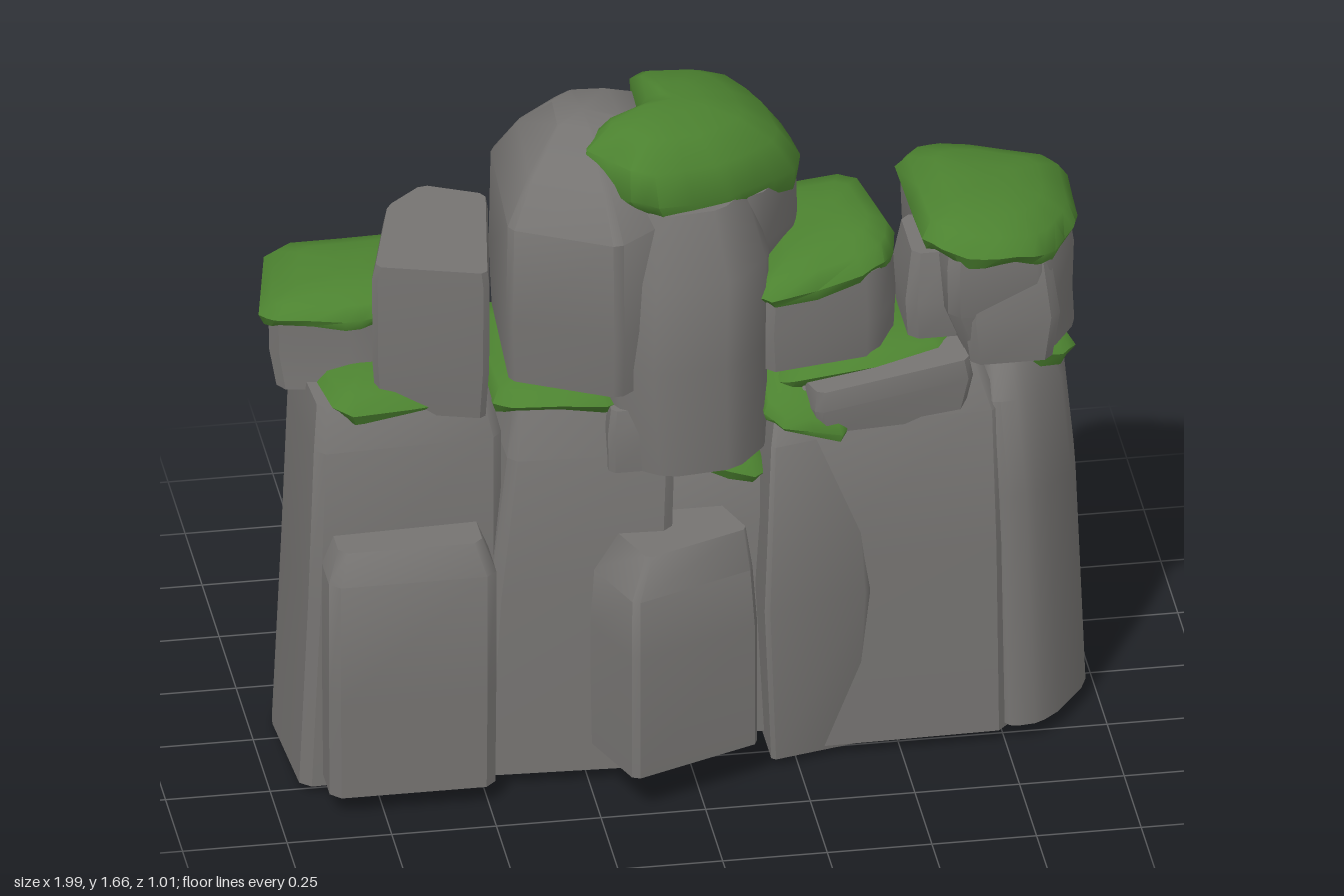
import * as THREE from 'three';
import { toCreasedNormals } from 'three/addons/utils/BufferGeometryUtils.js';

const stone = new THREE.MeshStandardMaterial({ color: 0x757371 });
stone.name = 'grey stone';
const moss = new THREE.MeshStandardMaterial({ color: 0x4c8230 });
moss.name = 'green moss';

const centre = (pts) => pts.reduce((c, p) => [c[0] + p[0] / pts.length, c[1] + p[1] / pts.length], [0, 0]);

// Orders a footprint consistently and cuts its corners
function bevelled(pts, b) {
  const area = pts.reduce((s, p, i) => {
    const q = pts[(i + 1) % pts.length];
    return s + p[0] * q[1] - q[0] * p[1];
  }, 0);
  const src = area < 0 ? [...pts].reverse() : pts;
  const out = [];
  src.forEach((p, i) => {
    for (const q of [src[(i + src.length - 1) % src.length], src[(i + 1) % src.length]]) {
      const k = Math.min(0.35, b / Math.hypot(q[0] - p[0], q[1] - p[1]));
      out.push([p[0] + (q[0] - p[0]) * k, p[1] + (q[1] - p[1]) * k]);
    }
  });
  return out;
}

// Closed solid through rings of 3D points, from bottom to top
function loft(rings, crease) {
  const n = rings[0].length, pos = [];
  const tri = (...p) => p.forEach((v) => pos.push(...v));
  const mid = (r) => [0, 1, 2].map((k) => r.reduce((s, p) => s + p[k], 0) / n);
  const low = rings[0], top = rings[rings.length - 1];
  for (let i = 0; i < n; i++) {
    const j = (i + 1) % n;
    for (let r = 0; r + 1 < rings.length; r++) {
      const a = rings[r], b = rings[r + 1];
      tri(a[i], b[i], a[j]);
      tri(a[j], b[i], b[j]);
    }
    tri(mid(low), low[i], low[j]);
    tri(mid(top), top[j], top[i]);
  }
  const g = new THREE.BufferGeometry();
  g.setAttribute('position', new THREE.Float32BufferAttribute(pos, 3));
  return toCreasedNormals(g, crease);
}

// Boulder: footprint [x, z], rings [y, scale, shiftX, shiftZ], slope of the upper rings
function rock(name, foot, rings, slope = [0, 0], bevel = 0.025) {
  const pts = bevelled(foot, bevel), [cx, cz] = centre(foot);
  const levels = rings.map(([y, s, dx = 0, dz = 0], r) => pts.map(([x, z]) => {
    const u = (x - cx) * s, v = (z - cz) * s;
    return [cx + u + dx, y + (r ? slope[0] * u + slope[1] * v : 0), cz + v + dz];
  }));
  const mesh = new THREE.Mesh(loft(levels, 0.75), stone);
  mesh.name = name;
  return mesh;
}

// Moss pad: low cap with an uneven rim; lean moves its summit
function pad(name, foot, y, h, slope = [0, 0], droop = 0.02, lean = [0, 0]) {
  const [cx, cz] = centre(foot), pts = [];
  const cut = bevelled(foot, 0.04);
  cut.forEach((p, i) => {
    const q = cut[(i + 1) % cut.length];
    pts.push(p, [(p[0] + q[0]) / 2, (p[1] + q[1]) / 2]);
  });
  const shape = [[0, 0.95, 1], [0.2, 1.01, 0.4], [0.6, 0.88, 0.1], [0.88, 0.6, 0], [1, 0.28, 0]];
  const levels = shape.map(([t, s, rag]) => pts.map(([x, z], i) => {
    const u = (x - cx) * s, v = (z - cz) * s;
    const sag = droop * rag * (0.8 + 0.6 * Math.sin(i * 1.2 + cx * 9));
    return [cx + u + lean[0] * t, y + h * t - sag + slope[0] * u + slope[1] * v, cz + v + lean[1] * t];
  }));
  const mesh = new THREE.Mesh(loft(levels, 1.0), moss);
  mesh.name = name;
  return mesh;
}

const box = (x0, x1, z0, z1) => [[x0, z0], [x1, z0], [x1, z1], [x0, z1]];

export function createModel() {
  const g = new THREE.Group();
  g.name = 'mossyRockFormation';
  g.add(
    // Tall lower pillars
    rock('rightPillar', [[-0.95, -0.06], [-0.91, -0.17], [-0.8, -0.25], [-0.5, -0.26], [-0.46, 0.26], [-0.93, 0.28]],
      [[0.02, 1], [0.5, 0.99, 0.02], [0.91, 0.96, 0.03], [1.01, 0.88, 0.03, -0.02]]),
    rock('rightInnerPillar', [[-0.52, -0.24], [-0.04, -0.24], [-0.06, 0.33], [-0.51, 0.31]],
      [[0.03, 1], [0.5, 0.95, 0.02], [0.85, 0.88, 0.05, -0.01], [1.0, 0.77, 0.05, -0.03]]),
    rock('rightBackPillar', [[-0.65, -0.28], [-0.4, -0.31], [-0.36, -0.1], [-0.62, -0.1]],
      [[0.03, 1], [0.82, 0.95], [0.9, 0.85]]),
    rock('centreCore', box(-0.25, 0.3, -0.26, 0.22),
      [[0.04, 1], [0.62, 0.98], [0.73, 0.9, 0, -0.02]]),
    rock('leftInnerPillar', [[0.18, -0.25], [0.74, -0.25], [0.76, 0.29], [0.22, 0.3]],
      [[0.03, 1], [0.5, 0.98], [0.86, 0.95, 0, -0.01], [0.97, 0.82, 0, -0.04]], [0, 0.1]),
    rock('leftInnerWedge', [[0.17, 0], [0.46, 0.05], [0.42, 0.29], [0.17, 0.35]],
      [[0.02, 0.88], [0.44, 1.04, 0, 0.01], [0.85, 0.85, 0, -0.02], [0.93, 0.7, 0, -0.05]], [0, 0], 0.012),
    rock('leftPillar', [[0.72, -0.26], [0.9, -0.24], [0.98, -0.19], [1, -0.1], [0.97, 0.12], [0.87, 0.26], [0.8, 0.3], [0.74, 0.28]],
      [[0.04, 1], [0.6, 0.98, -0.02, -0.01], [0.85, 0.95, -0.04, -0.02], [0.93, 0.8, -0.05, -0.05]], [0, 0.2]),

    // Slabs leaning on the front and back
    rock('frontRightSlab', box(-0.88, -0.48, 0.1, 0.4),
      [[0.05, 0.99], [0.3, 1], [0.62, 1], [0.69, 0.86, 0, -0.02]]),
    rock('frontCentreSlab', [[-0.25, 0.3], [-0.17, 0.51], [0.15, 0.38], [0.07, 0.16]],
      [[0.1, 1], [0.42, 1], [0.56, 0.96, 0, -0.02], [0.65, 0.8, 0.02, -0.05]], [0, 0], 0.015),
    rock('backRightSlab', [[-0.39, -0.41], [-0.07, -0.51], [0, -0.25], [-0.3, -0.16]],
      [[0.06, 1], [0.25, 1], [0.62, 0.94, 0, 0.02], [0.69, 0.8, 0, 0.05]]),
    rock('backLeftSlab', [[0.17, -0.39], [0.46, -0.47], [0.52, -0.24], [0.24, -0.16]],
      [[0.0, 1], [0.4, 1], [0.68, 0.97, 0, 0.01], [0.73, 0.8, 0, 0.02]]),
    rock('backLeftSmallSlab', [[0.43, -0.41], [0.63, -0.38], [0.6, -0.2], [0.42, -0.2]],
      [[0.08, 1], [0.54, 1], [0.6, 0.8]]),

    // Boulders stacked on top
    rock('farRightBoulder', [[-0.98, 0.07], [-0.92, -0.23], [-0.56, -0.22], [-0.58, 0.08], [-0.76, 0.11]],
      [[0.99, 0.9, 0, 0.02], [1.08, 0.97], [1.19, 0.98]]),
    rock('uprightBlock', [[-0.75, 0.2], [-0.67, -0.1], [-0.57, -0.19], [-0.42, -0.12], [-0.48, 0.28]],
      [[0.97, 0.93], [1.1, 0.99], [1.33, 1], [1.37, 0.95, 0, 0.01]], [0, 0], 0.015),
    rock('peakBoulder', [[-0.43, 0.22], [-0.41, -0.18], [-0.24, -0.33], [0.04, -0.31], [0.08, 0.15], [-0.18, 0.35]],
      [[1.04, 0.97], [1.2, 1], [1.45, 0.98], [1.55, 0.68, -0.01], [1.63, 0.3, -0.02]], [0, 0], 0.015),
    rock('frontColumn', [[-0.2, 0.05], [-0.2, 0.27], [-0.08, 0.36], [0.1, 0.34], [0.2, 0.22], [0.18, 0]],
      [[0.82, 0.93, 0.01], [1.1, 1], [1.32, 0.98, 0.01, -0.02], [1.48, 0.8, 0, -0.06]]),
    rock('smallFrontWedge', box(-0.2, -0.08, 0.12, 0.31), [[0.82, 0.97], [0.92, 1], [0.98, 0.85]], [0, 0], 0.015),
    rock('backColumn', [[-0.29, -0.29], [0.18, -0.34], [0.22, 0.05], [-0.2, 0.05]],
      [[0.79, 0.99], [1.3, 0.97], [1.45, 0.85]]),
    rock('backBlock', [[-0.35, -0.34], [-0.06, -0.39], [0, -0.16], [-0.28, -0.12]],
      [[1.06, 0.98], [1.24, 1], [1.38, 0.75, 0, 0.03]], [0, 0], 0.015),
    rock('crownBoulder', [[0, -0.31], [0.25, -0.31], [0.31, 0.02], [0.18, 0.19], [-0.02, 0.2]],
      [[1.22, 0.8], [1.33, 0.97], [1.47, 0.95]], [-0.1, 0]),
    rock('leftMiddleBoulder', [[0.18, 0.25], [0.22, -0.22], [0.48, -0.24], [0.53, 0.08], [0.46, 0.2]],
      [[1.02, 0.97], [1.12, 1], [1.24, 0.95]]),
    rock('ledgeStone', [[0.27, 0.2], [0.3, 0.3], [0.68, 0.27], [0.66, 0.05], [0.3, 0.05]],
      [[0.87, 0.9], [0.95, 1], [1.0, 0.96]], [0.13, 0], 0.015),
    rock('farLeftBoulder', [[0.57, -0.2], [0.72, -0.24], [0.96, -0.19], [0.95, 0.1], [0.86, 0.24], [0.62, 0.27]],
      [[1.0, 0.83, 0.03], [1.12, 0.97], [1.24, 0.99], [1.31, 0.93]], [-0.13, 0]),
    rock('smallLeftStone', box(0.53, 0.68, -0.05, 0.2), [[1.05, 0.9], [1.15, 1], [1.27, 0.75]]),
    rock('leftBoulderKnob', box(0.66, 0.89, 0.1, 0.26), [[1.0, 0.85], [1.12, 1], [1.25, 0.85, 0, -0.02]]),

    // Moss caps on the upper boulders
    pad('crownMoss', [[-0.25, 0.1], [-0.05, -0.06], [-0.04, -0.32], [0.2, -0.34], [0.29, -0.2], [0.32, 0.04], [0.15, 0.2], [-0.1, 0.28]],
      1.465, 0.19, [-0.1, 0.02], 0.025, [-0.06, 0.05]),
    pad('crownBackMoss', [[-0.26, -0.22], [-0.2, -0.3], [0.06, -0.31], [0.06, -0.15]], 1.42, 0.06),
    pad('farRightMoss', [[-1, 0.08], [-0.93, -0.25], [-0.58, -0.24], [-0.55, 0.08], [-0.76, 0.13]], 1.18, 0.06, [0.03, 0]),
    pad('leftMiddleMoss', [[0.16, 0.27], [0.22, -0.24], [0.48, -0.25], [0.53, 0.08], [0.46, 0.2]], 1.23, 0.08, [0.1, 0]),
    pad('farLeftMoss', [[0.56, -0.2], [0.7, -0.25], [0.97, -0.19], [0.96, 0.08], [0.86, 0.25], [0.7, 0.29], [0.57, 0.23]],
      1.285, 0.09, [-0.14, 0], 0.02),

    // Moss ledges on the pillar tops
    pad('rightPillarMoss', [[-0.9, -0.2], [-0.52, -0.3], [-0.48, 0.2], [-0.84, 0.26]], 0.99, 0.07, [-0.05, 0]),
    pad('rightInnerMoss', [[-0.47, -0.24], [-0.14, -0.24], [-0.16, 0.28], [-0.46, 0.25]], 0.98, 0.06),
    pad('rightBackMoss', [[-0.65, -0.3], [-0.4, -0.33], [-0.37, -0.12], [-0.6, -0.12]], 0.88, 0.05, [0, 0], 0.05),
    pad('coreMoss', [[0, -0.2], [0.21, -0.2], [0.2, 0.24], [0, 0.23]], 0.77, 0.05, [-0.35, -0.05]),
    pad('leftInnerMoss', [[0.2, -0.27], [0.7, -0.27], [0.66, 0.2], [0.22, 0.24]], 0.96, 0.07, [0.05, 0.12], 0.03),
    pad('ledgeMoss', [[0.18, 0.1], [0.36, 0.1], [0.4, 0.3], [0.18, 0.29]], 0.94, 0.04, [-0.1, -0.6]),
    pad('leftPillarMoss', [[0.72, -0.28], [0.93, -0.25], [0.95, 0.14], [0.74, 0.18]], 0.92, 0.05, [-0.12, 0.24], 0.03)
  );
  return g;
}
